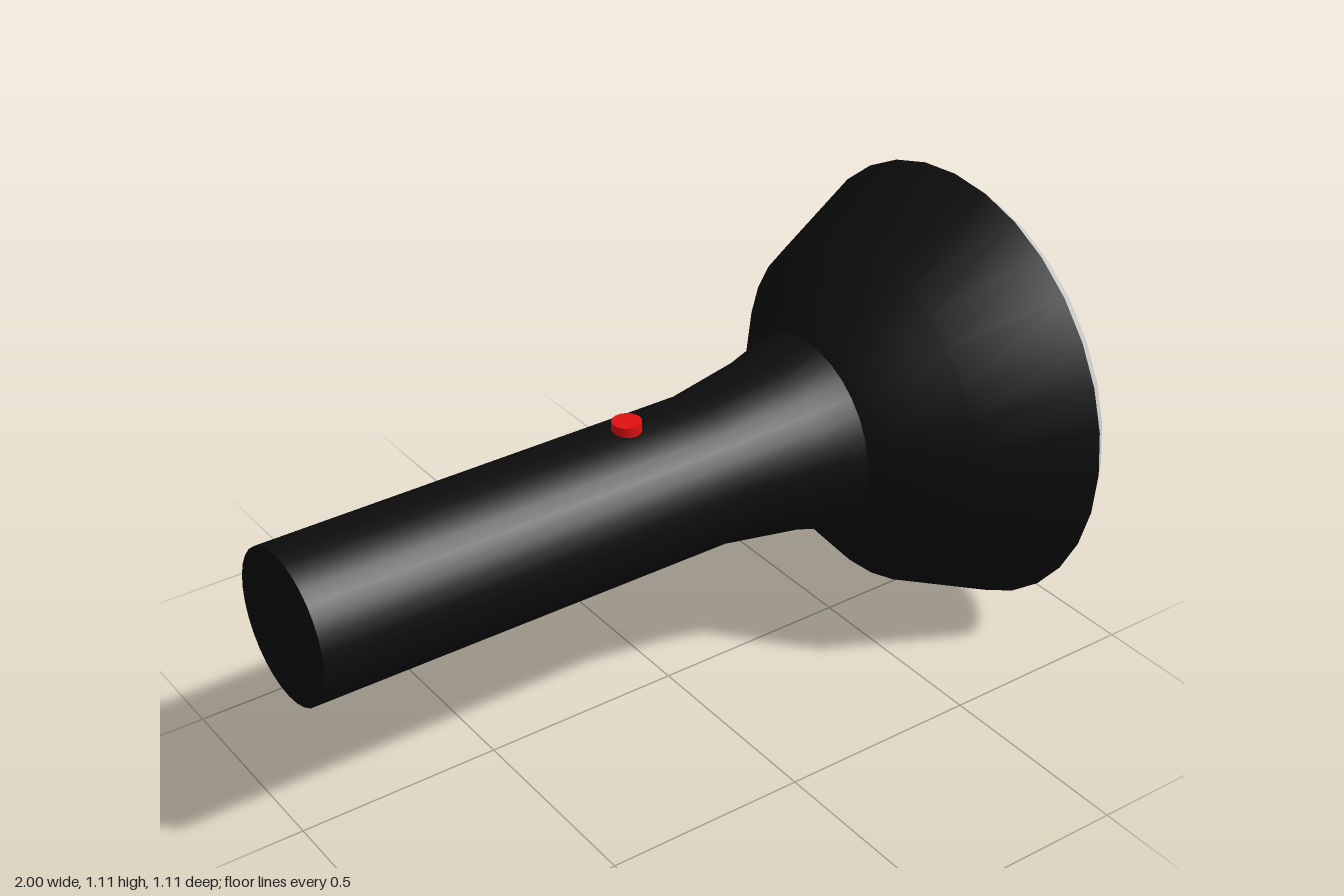
import * as THREE from 'three';

const AXIS = 0.56; // height of the torch's long axis
const SIDES = 32;
const black = new THREE.MeshStandardMaterial({ color: 0x0d0d0d });
const red = new THREE.MeshStandardMaterial({ color: 0xe01010 });
const grey = new THREE.MeshStandardMaterial({ color: 0xcccccc });

// Turns a list of [x, radius] pairs around the long axis
function turned(name, profile, material) {
  const points = profile.map(([x, r]) => new THREE.Vector2(r, x));
  const geometry = new THREE.LatheGeometry(points, SIDES);
  geometry.rotateZ(-Math.PI / 2);
  const mesh = new THREE.Mesh(geometry, material);
  mesh.name = name;
  mesh.position.y = AXIS;
  return mesh;
}

export function createModel() {
  const torch = new THREE.Group();
  torch.name = 'flashlight';

  // Straight grip, then the neck and reflector housing
  torch.add(turned('handle', [[-1, 0.182], [0.09, 0.182]], black));
  torch.add(turned('neck', [[0.09, 0.182], [0.29, 0.214], [0.395, 0.244]], black));
  torch.add(turned('head', [[0.395, 0.244], [0.56, 0.434], [0.83, 0.556]], black));
  torch.add(turned('endCap', [[-1, 0], [-1, 0.182]], black));

  // Domed lens with a flat centre
  torch.add(turned('lens', [
    [0.83, 0.556], [0.877, 0.515], [0.928, 0.45], [0.972, 0.315], [1, 0.185], [1, 0],
  ], grey));

  // Switch on top of the grip
  const button = new THREE.Mesh(new THREE.CylinderGeometry(0.035, 0.035, 0.05, 24), red);
  button.name = 'switchButton';
  button.position.set(-0.115, AXIS + 0.178, 0);
  torch.add(button);

  return torch;
}
